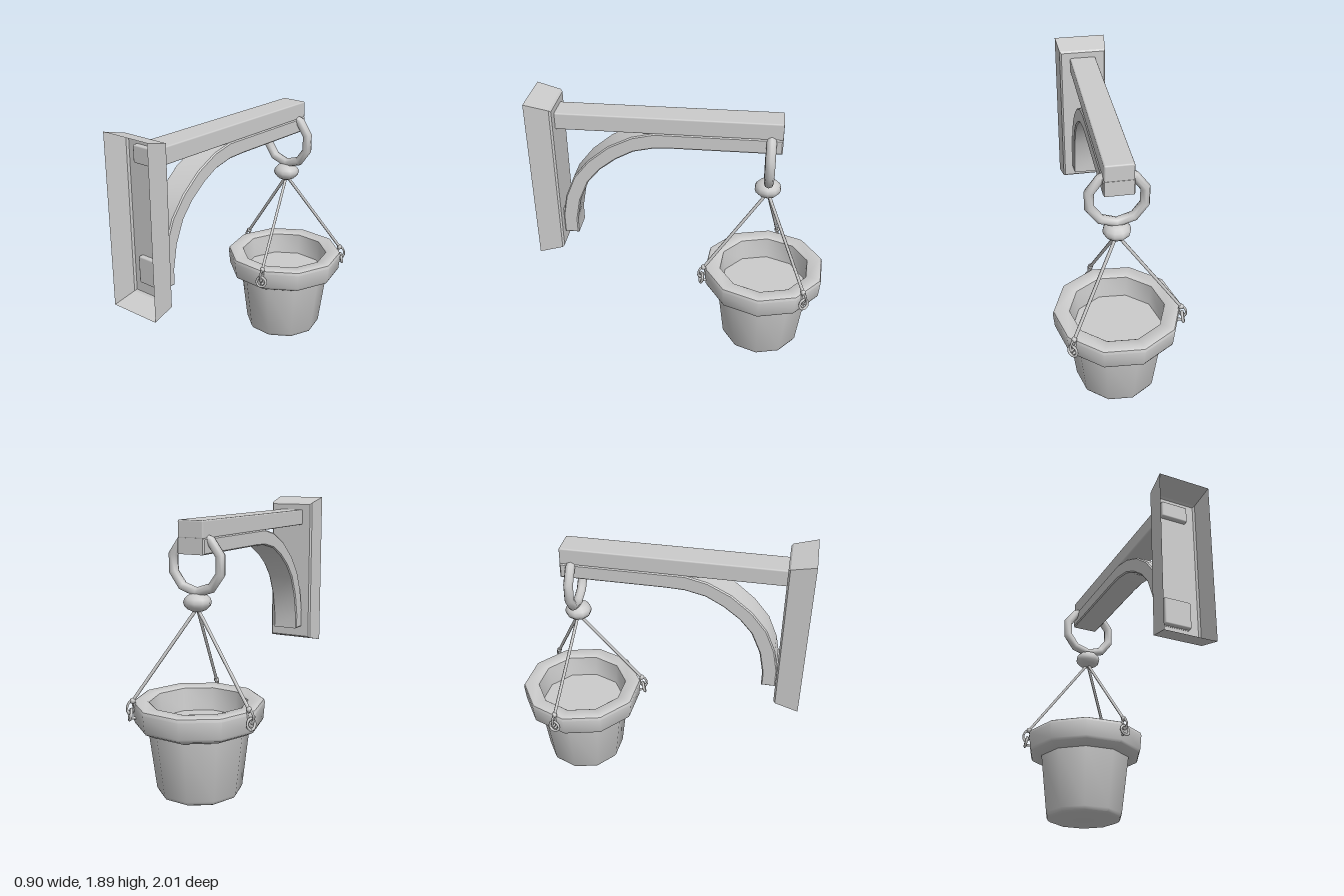
import * as THREE from 'three';
import { toCreasedNormals } from 'three/addons/utils/BufferGeometryUtils.js';
import { RoundedBoxGeometry } from 'three/addons/geometries/RoundedBoxGeometry.js';

const CX = 0.02;    // centre plane of the bracket
const HZ = -0.58;   // depth of the hanging axis

export function createModel() {
  const model = new THREE.Group();
  const grey = new THREE.MeshStandardMaterial({ color: 0xcccccc, side: THREE.DoubleSide });

  function add(name, geometry, x = 0, y = 0, z = 0, parent = model) {
    const mesh = new THREE.Mesh(geometry, grey);
    mesh.name = name;
    mesh.position.set(x, y, z);
    parent.add(mesh);
    return mesh;
  }

  // Wall plate: tapered hollow shell, open on the wall side
  const box = new THREE.BoxGeometry(2, 2, 2, 1, 1, 2);
  const p = box.attributes.position;
  for (let i = 0; i < p.count; i++) {
    const z = p.getZ(i);
    const [hx, hy, depth] = z > 0.5 ? [0.182, 0.57, 1] : z > -0.5 ? [0.168, 0.531, 0.84] : [0.156, 0.519, 0.828];
    p.setXYZ(i, p.getX(i) * hx, p.getY(i) * hy, depth);
  }
  const idx = Array.from(box.index.array);
  idx.splice(48, 6);          // drop the wall-side face
  box.setIndex(idx);
  box.clearGroups();
  const plate = box.toNonIndexed();
  plate.computeVertexNormals();
  add('wallPlate', plate, CX, 1.322, 0);

  // Horizontal beam and the tenon of the brace inside the plate
  add('beam', new RoundedBoxGeometry(0.186, 0.115, 1.515, 1, 0.01), CX, 1.743, 0.1025);
  add('braceTenon', new RoundedBoxGeometry(0.186, 0.185, 0.08, 1, 0.01), CX, 0.978, 0.82);

  // Curved brace: side outline in (z, y), extruded across the beam
  const outline = [
    [-0.655, 1.69], [0.18, 1.69], [0.33, 1.655], [0.49, 1.575], [0.63, 1.46],
    [0.735, 1.33], [0.8, 1.175], [0.83, 1.02], [0.83, 0.88],
    [0.73, 0.88], [0.73, 0.99], [0.7, 1.15], [0.635, 1.3], [0.55, 1.4],
    [0.44, 1.485], [0.32, 1.55], [0.18, 1.582], [0.05, 1.587], [-0.655, 1.587],
  ].map(([z, y]) => new THREE.Vector2(z, y));
  const brace = new THREE.ExtrudeGeometry(new THREE.Shape(outline), {
    depth: 0.18, bevelSize: 0.008, bevelThickness: 0.008, bevelOffset: -0.008, bevelSegments: 1,
  });
  brace.translate(0, 0, -0.09).rotateY(-Math.PI / 2);
  add('curvedBrace', toCreasedNormals(brace, 0.6), CX, 0, 0);

  // Ring around the beam and the ball beneath it
  const ring = new THREE.TorusGeometry(0.182, 0.033, 8, 10);
  ring.rotateZ(Math.PI / 10);
  add('hangingRing', ring, CX, 1.523, HZ);
  const ball = new THREE.SphereGeometry(0.092, 10, 8);
  ball.scale(1, 0.68, 1);
  add('ball', ball, CX, 1.277, HZ + 0.003);

  // Ten-sided pot with a heavy rim, closed inside by the soil surface
  const profile = [
    [0, 0], [0.25, 0], [0.272, 0.012], [0.284, 0.035], [0.335, 0.45], [0.36, 0.452], [0.415, 0.482],
    [0.424, 0.5], [0.434, 0.61], [0.428, 0.63], [0.415, 0.637], [0.335, 0.634], [0.322, 0.625],
    [0.305, 0.47], [0, 0.47],
  ].map(([r, y]) => new THREE.Vector2(r, y));
  const pot = new THREE.LatheGeometry(profile, 10, THREE.MathUtils.degToRad(14.3));
  add('pot', toCreasedNormals(pot, 0.7), 0.013, 0, -0.587);

  // Three ropes, each tied to a link and an eye ring on the rim
  const top = new THREE.Vector3(CX, 1.24, HZ);
  for (const [x, z] of [[-0.41, -0.675], [0.345, -0.865], [0.13, -0.155]]) {
    const end = new THREE.Vector3(x, 0.645, z);
    const rope = new THREE.TubeGeometry(new THREE.LineCurve3(top, end), 1, 0.011, 6);
    add('rope', rope);

    const hook = new THREE.Group();
    hook.name = 'rimHook';
    hook.position.set(x, 0, z);
    hook.rotation.y = Math.atan2(x - 0.013, z + 0.587);   // local +z points outward
    model.add(hook);

    add('knot', new THREE.SphereGeometry(0.02, 6, 5), 0, 0.652, -0.005, hook);
    const link = new THREE.TorusGeometry(0.024, 0.008, 5, 10);
    link.scale(1, 1.7, 1).rotateY(Math.PI / 2);
    add('link', link, 0, 0.61, 0.008, hook).rotation.x = -0.25;
    add('eyeRing', new THREE.TorusGeometry(0.036, 0.01, 5, 12), 0, 0.56, 0.012, hook).rotation.x = -0.2;
    const pin = new THREE.CylinderGeometry(0.009, 0.009, 0.06, 6);
    pin.rotateX(Math.PI / 2);
    add('pin', pin, 0, 0.535, -0.015, hook);
  }

  return model;
}
